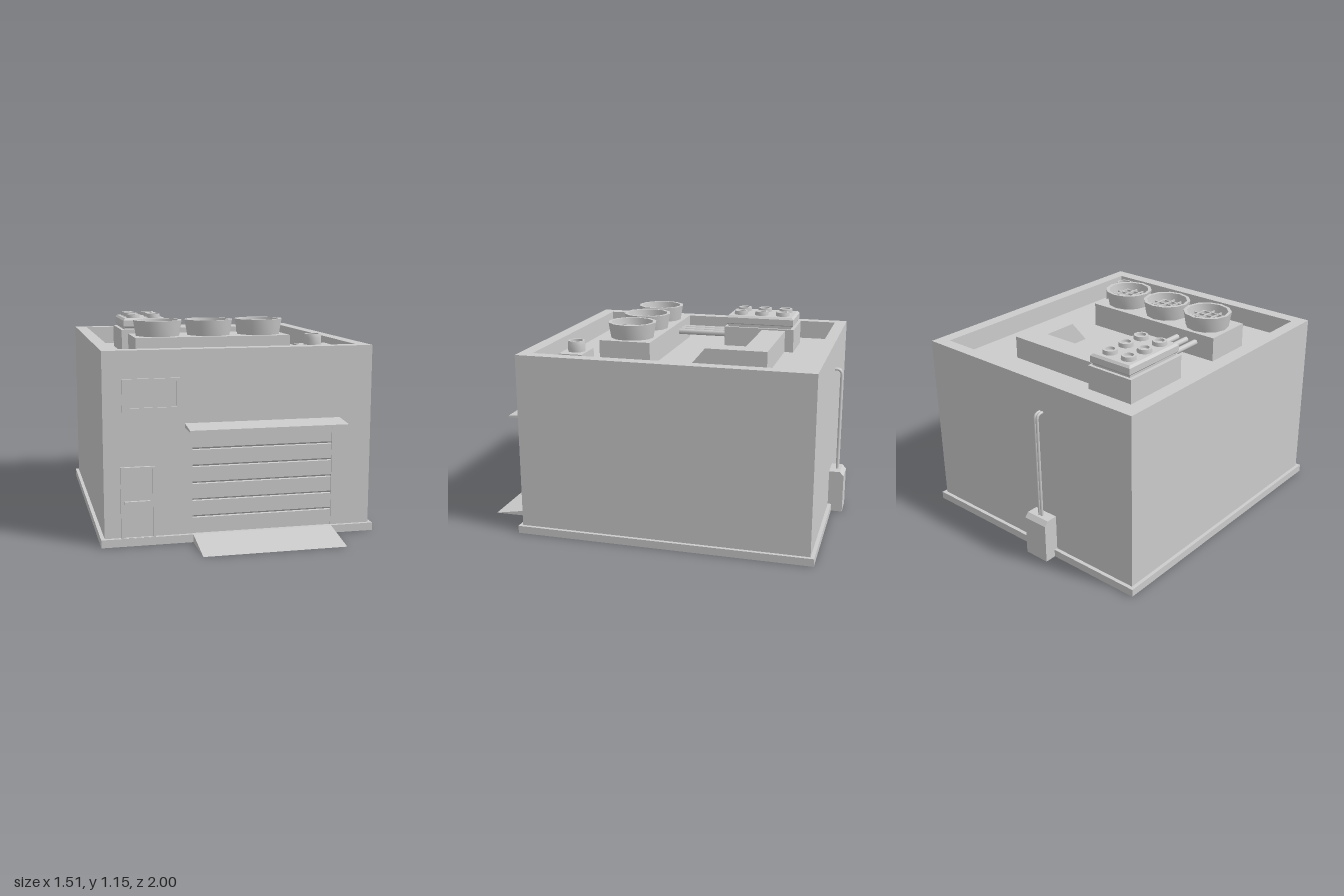
import * as THREE from 'three';
import { toCreasedNormals } from 'three/addons/utils/BufferGeometryUtils.js';

const FLOOR = 0.925; // roof deck height
const TOP = 1.035; // parapet height
const FRONT = 0.725, BACK = -0.914;

const mat = new THREE.MeshStandardMaterial({ color: 0xcccccc });
const matDouble = new THREE.MeshStandardMaterial({ color: 0xcccccc, side: THREE.DoubleSide });

export function createModel() {
  const model = new THREE.Group();

  const add = (name, geo, parent = model, material = mat) => {
    const mesh = new THREE.Mesh(geo, material);
    mesh.name = name;
    parent.add(mesh);
    return mesh;
  };
  // Box given by its limits on each axis
  const box = (name, x0, x1, y0, y1, z0, z1, parent = model) => {
    const mesh = add(name, new THREE.BoxGeometry(x1 - x0, y1 - y0, z1 - z0), parent);
    mesh.position.set((x0 + x1) / 2, (y0 + y1) / 2, (z0 + z1) / 2);
    return mesh;
  };
  const rect = (x0, x1, y0, y1, Type = THREE.Shape) =>
    new Type([[x0, y0], [x1, y0], [x1, y1], [x0, y1]].map(p => new THREE.Vector2(...p)));
  // Rectangular frame facing the front
  const frame = (name, outer, inner, z0, z1, parent = model) => {
    const s = rect(...outer);
    s.holes.push(rect(...inner, THREE.Path));
    const mesh = add(name, new THREE.ExtrudeGeometry(s, { depth: z1 - z0, bevelEnabled: false }), parent);
    mesh.position.z = z0;
    return mesh;
  };
  // Rectangular frame lying flat; limits are x0, x1, -z1, -z0
  const flatFrame = (name, outer, inner, y0, y1) => {
    const mesh = frame(name, outer, inner, 0, y1 - y0);
    mesh.rotation.x = -Math.PI / 2;
    mesh.position.y = y0;
  };
  // Side outline of [z, y] points extruded along x
  const sideProfile = (name, pts, x0, x1, parent = model) => {
    const s = new THREE.Shape(pts.map(([z, y]) => new THREE.Vector2(-z, y)));
    const geo = new THREE.ExtrudeGeometry(s, { depth: x1 - x0, bevelEnabled: false });
    geo.rotateY(Math.PI / 2).translate(x0, 0, 0);
    return add(name, geo, parent);
  };
  // Turned part, smooth around and sharp at its rims
  const lathe = (name, pts, sides, x, y, z, parent) => {
    const geo = new THREE.LatheGeometry(pts.map(p => new THREE.Vector2(...p)), sides);
    const mesh = add(name, toCreasedNormals(geo, 0.9), parent, matDouble);
    mesh.position.set(x, y, z);
    return mesh;
  };

  // Building shell on a hollow skirt
  flatFrame('plinthSkirt', [-0.755, 0.755, -0.745, 0.935], [-0.75, 0.75, -0.74, 0.93], 0, 0.038);
  box('plinthLedge', -0.755, 0.755, 0.038, 0.043, -0.935, 0.745);
  box('body', -0.735, 0.735, 0.04, FLOOR, BACK, FRONT - 0.025);
  frame('frontWall', [-0.735, 0.735, 0.04, FLOOR], [-0.263, 0.515, 0.043, 0.598], FRONT - 0.025, FRONT);
  flatFrame('parapet', [-0.735, 0.735, -FRONT, -BACK], [-0.665, 0.663, -0.65, 0.845], FLOOR, TOP);

  // Sectional garage door with V-shaped grooves
  const FACE = FRONT - 0.006;
  const panels = [[0.69, 0.043], [FACE, 0.043]];
  for (let i = 0; i < 5; i++) {
    const y = 0.128 + i * 0.0925;
    panels.push([FACE, y], [FACE - 0.012, y + 0.003], [FACE, y + 0.013]);
  }
  panels.push([FACE, 0.598], [0.69, 0.598]);
  sideProfile('garageDoor', panels, -0.263, 0.515);
  sideProfile('ramp', [[0.74, 0], [0.998, 0], [0.745, 0.043], [0.74, 0.043]], -0.263, 0.513);
  sideProfile('awning', [[0.7, 0.621], [0.868, 0.621], [0.868, 0.631], [FRONT, 0.645], [0.7, 0.645]], -0.303, 0.556);

  // Entrance door with push bar
  const door = new THREE.Group();
  door.name = 'entranceDoor';
  model.add(door);
  frame('doorFrame', [-0.648, -0.466, 0.043, 0.425], [-0.636, -0.478, 0.045, 0.414], 0.71, 0.743, door);
  box('doorLeaf', -0.637, -0.477, 0.043, 0.415, 0.71, 0.731, door);
  box('pushBar', -0.628, -0.493, 0.226, 0.242, 0.72, 0.748, door);

  // Upper window
  frame('windowFrame', [-0.635, -0.33, 0.717, 0.888], [-0.618, -0.346, 0.736, 0.871], 0.71, 0.738);
  box('windowPane', -0.623, -0.341, 0.73, 0.876, 0.71, 0.728);

  // Three rooftop fans on a shared plinth
  const fans = new THREE.Group();
  fans.name = 'fanUnit';
  model.add(fans);
  box('fanBase', -0.508, 0.38, FLOOR, 1.065, 0.07, 0.367, fans);
  for (const x of [-0.359, -0.063, 0.232]) {
    lathe('fanHousing', [[0.125, 0], [0.14, 0.088], [0.12, 0.088], [0.107, 0.002]], 12, x, 1.065, 0.217, fans);
    for (const t of [-0.075, -0.025, 0.025, 0.075]) {
      const h = Math.sqrt(0.11 ** 2 - t * t);
      box('grilleBar', x + t - 0.004, x + t + 0.004, 1.107, 1.117, 0.217 - h, 0.217 + h, fans);
      box('grilleBar', x - h, x + h, 1.105, 1.115, 0.213 + t, 0.221 + t, fans);
    }
  }

  // Chiller with chamfered cover and six round vents
  const chiller = new THREE.Group();
  chiller.name = 'chiller';
  model.add(chiller);
  box('chillerBase', -0.508, -0.214, FLOOR, 1.062, -0.648, -0.226, chiller);
  box('chillerNeck', -0.487, -0.23, 1.06, 1.08, -0.63, -0.245, chiller);
  const cover = new THREE.ExtrudeGeometry(rect(-0.483, -0.237, 0.245, 0.63),
    { depth: 0.035, bevelThickness: 0.012, bevelSize: 0.012, bevelSegments: 1 });
  cover.rotateX(-Math.PI / 2);
  add('chillerCover', cover, chiller).position.y = 1.083;
  for (const x of [-0.425, -0.298])
    for (const z of [-0.566, -0.438, -0.311])
      lathe('roundVent', [[0.042, 0], [0.04, 0.023], [0.027, 0.023], [0.025, 0.008], [0, 0.008]], 12, x, 1.13, z, chiller);

  // Pipes joining the chiller and the fans
  for (const x of [-0.383, -0.319, -0.255]) {
    const pipe = add('coolantPipe', new THREE.CylinderGeometry(0.017, 0.017, 0.32, 8));
    pipe.rotation.x = Math.PI / 2;
    pipe.position.set(x, 1.01, -0.08);
  }

  // Angled air duct with sloped outlet
  const DUCT = 1.053;
  box('ductRun', -0.23, 0.383, FLOOR, DUCT, -0.596, -0.456);
  sideProfile('ductOutlet', [[-0.46, FLOOR], [-0.14, FLOOR], [-0.248, DUCT], [-0.46, DUCT]], 0.272, 0.383);

  // Small exhaust vent
  box('exhaustBase', 0.388, 0.578, FLOOR, 1.02, 0.4, 0.535);
  lathe('exhaustStack', [[0.052, 0], [0.052, 0.04], [0.048, 0.06], [0.038, 0.06], [0.036, 0.005], [0, 0.005]], 8, 0.481, 1.02, 0.465);

  // Rear utility box with a pair of conduits
  sideProfile('utilityBox', [[-1, 0], [-1, 0.225], [-0.978, 0.25], [-0.9, 0.25], [-0.9, 0]], -0.197, -0.047);
  for (const x of [-0.131, -0.114]) {
    const p = (y, z) => new THREE.Vector3(x, y, z);
    const path = new THREE.CurvePath();
    path.add(new THREE.LineCurve3(p(0.24, -0.954), p(0.83, -0.954)));
    path.add(new THREE.QuadraticBezierCurve3(p(0.83, -0.954), p(0.862, -0.954), p(0.862, -0.925)));
    path.add(new THREE.LineCurve3(p(0.862, -0.925), p(0.862, -0.905)));
    add('conduit', new THREE.TubeGeometry(path, 48, 0.008, 8));
  }

  return model;
}
